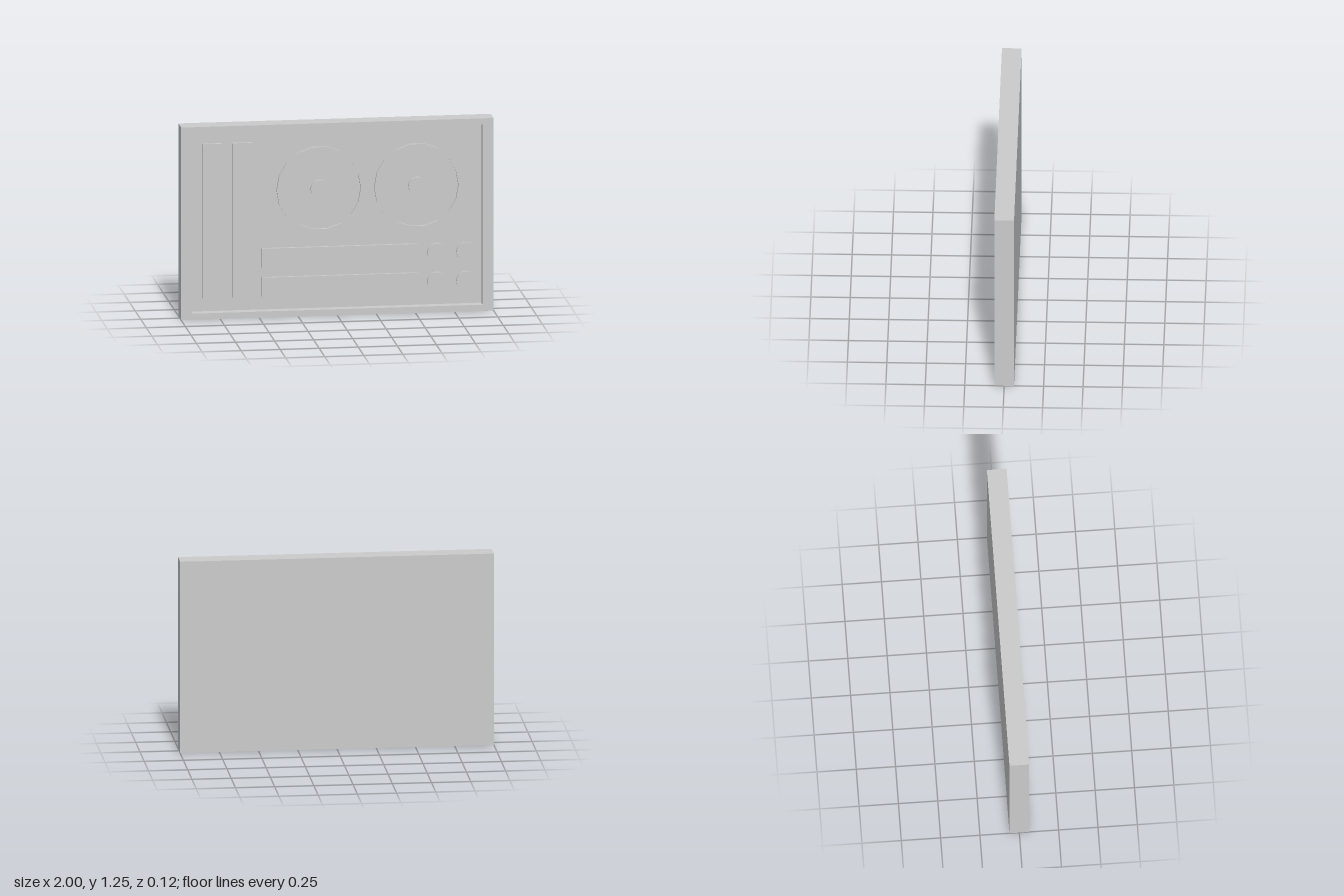
import * as THREE from 'three';

const FLOOR = 0;        // z of the recessed panel
const HALF = 0.0625;    // half thickness of the case
const RAISE = 0.02;     // height of the raised controls

const material = new THREE.MeshStandardMaterial({ color: 0xcccccc });

function add(parent, name, geometry, x, y, z) {
  const mesh = new THREE.Mesh(geometry, material);
  mesh.name = name;
  mesh.position.set(x, y, z);
  parent.add(mesh);
  return mesh;
}

// Closed rectangle or regular polygon outlines
const rect = (x0, y0, x1, y1) => [[x0, y0], [x1, y0], [x1, y1], [x0, y1]].map(p => new THREE.Vector2(...p));
const polygon = (r, n) => Array.from({ length: n }, (_, i) => {
  const a = (i / n) * Math.PI * 2;
  return new THREE.Vector2(r * Math.cos(a), r * Math.sin(a));
});

// Flat outline with a hole, extruded towards +z
function frame(outer, inner, depth) {
  const shape = new THREE.Shape(outer);
  shape.holes.push(new THREE.Path(inner));
  return new THREE.ExtrudeGeometry(shape, { depth, bevelEnabled: false });
}

// Round button standing on the panel, facing +z
function button(parent, name, r, x, y) {
  const geometry = new THREE.CylinderGeometry(r, r, RAISE, 32).rotateX(Math.PI / 2);
  add(parent, name, geometry, x, y, FLOOR + RAISE / 2);
}

export function createModel() {
  const model = new THREE.Group();
  model.name = 'controlPanel';

  // Case: solid back with a raised rim around the recessed panel
  add(model, 'backPlate', new THREE.BoxGeometry(2, 1.25, HALF), 0, 0.625, -HALF / 2);
  add(model, 'rim', frame(rect(-1, 0, 1, 1.25), rect(-0.93, 0.04, 0.93, 1.21), HALF - FLOOR), 0, 0, FLOOR);

  // Upright bars
  for (const x of [-0.792, -0.605]) {
    add(model, 'uprightBar', new THREE.BoxGeometry(0.124, 1, RAISE), x, 0.628, FLOOR + RAISE / 2);
  }

  // Level bars
  for (const y of [0.376, 0.188]) {
    add(model, 'levelBar', new THREE.BoxGeometry(1, 0.124, RAISE), 0.021, y, FLOOR + RAISE / 2);
  }

  // Two dials: thin faceted ring with a round hub
  for (const x of [-0.105, 0.52]) {
    const dial = new THREE.Group();
    dial.name = 'dial';
    add(dial, 'dialRing', frame(polygon(0.277, 18), polygon(0.262, 18), RAISE), x, 0.813, FLOOR);
    button(dial, 'dialHub', 0.058, x, 0.813);
    model.add(dial);
  }

  // Four knobs
  for (const x of [0.645, 0.832]) {
    for (const y of [0.376, 0.188]) button(model, 'knob', 0.0625, x, y);
  }

  return model;
}
